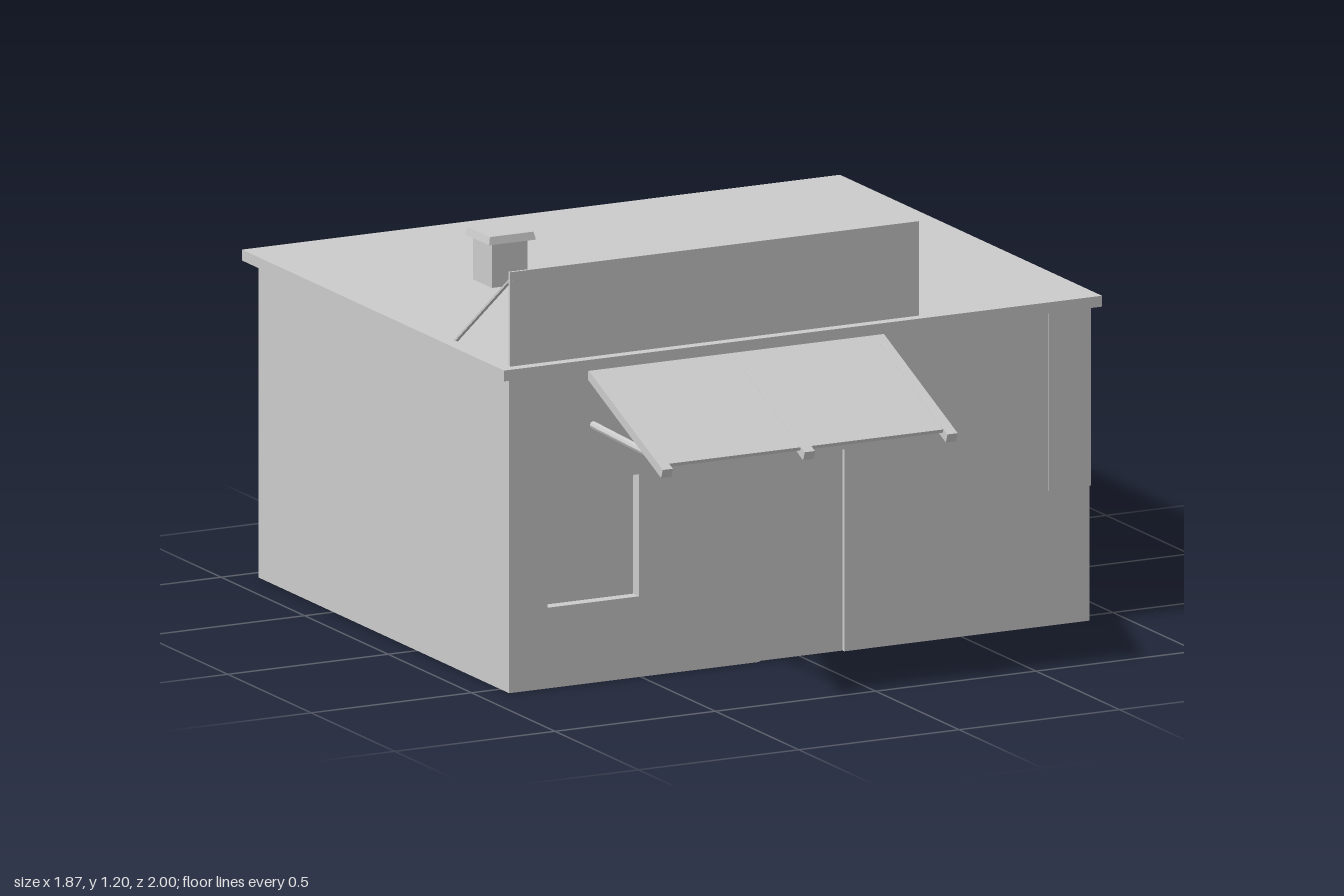
import * as THREE from 'three';

const L = -0.91, R = 0.9, FRONT = 0.553, BACK = -0.95, EAVE = 0.895, ROOF = 0.926;

export function createModel() {
  const group = new THREE.Group();
  const solid = new THREE.MeshStandardMaterial({ color: 0xcccccc, flatShading: true });
  const sheet = new THREE.MeshStandardMaterial({ color: 0xcccccc, flatShading: true, side: THREE.DoubleSide });

  const add = (name, geometry, material = solid) => {
    const mesh = new THREE.Mesh(geometry, material);
    mesh.name = name;
    group.add(mesh);
    return mesh;
  };
  // Box given by its limits; skip lists faces to leave open (0..5 = +x -x +y -y +z -z)
  const box = (x0, x1, y0, y1, z0, z1, skip = []) => {
    const g = new THREE.BoxGeometry(x1 - x0, y1 - y0, z1 - z0);
    g.translate((x0 + x1) / 2, (y0 + y1) / 2, (z0 + z1) / 2);
    if (skip.length) {
      g.setIndex(Array.from(g.index.array).filter((_, i) => !skip.includes(Math.floor(i / 6))));
      g.clearGroups();
    }
    return g;
  };
  const shape = (pts) => new THREE.Shape(pts.map(([x, y]) => new THREE.Vector2(x, y)));
  const rect = (x0, x1, y0, y1) => [[x0, y0], [x1, y0], [x1, y1], [x0, y1]];
  // Profile in (z, y), extruded along x between x0 and x1
  const sideProfile = (pts, x0, x1) => {
    const g = new THREE.ExtrudeGeometry(shape(pts.map(([z, y]) => [-z, y])), { depth: x1 - x0, bevelEnabled: false });
    return g.rotateY(Math.PI / 2).translate(x0, 0, 0);
  };
  const rod = (name, a, b, radius, sides) => {
    const from = new THREE.Vector3(...a), to = new THREE.Vector3(...b);
    const dir = to.clone().sub(from);
    const mesh = add(name, new THREE.CylinderGeometry(radius, radius, dir.length(), sides));
    mesh.position.copy(from).add(to).multiplyScalar(0.5);
    mesh.quaternion.setFromUnitVectors(new THREE.Vector3(0, 1, 0), dir.normalize());
  };

  // Hollow shell, open below; front wall cut for the door and window
  add('sideAndBackWalls', box(L, R, 0, EAVE, BACK, FRONT, [2, 3, 4]), sheet);
  const doorX = [-0.13, 0.135], doorTop = 0.575;
  const windowRect = [-0.79, -0.505, 0.23, 0.578];
  const front = shape([[L, 0], [doorX[0], 0], [doorX[0], doorTop], [doorX[1], doorTop],
    [doorX[1], 0], [R, 0], [R, EAVE], [L, EAVE]]);
  front.holes.push(shape(rect(...windowRect)));
  add('frontWall', new THREE.ShapeGeometry(front).translate(0, 0, FRONT), sheet);
  add('doorRecess', box(...doorX, 0, doorTop, FRONT - 0.01, FRONT, [3, 4]), sheet);
  add('windowRecess', box(...windowRect, FRONT - 0.035, FRONT, [4]), sheet);

  // Flat overhanging roof
  add('roof', box(-0.935, 0.93, EAVE, ROOF, -1, 0.57));

  // Stepped cladding patches wrapping the front corners
  const T = 0.003;
  const steps = (list) => {
    const pts = [[FRONT + T, EAVE], [FRONT + T, list[0][1]]];
    list.forEach(([d, y], i) => {
      pts.push([FRONT - d, y], [FRONT - d, i + 1 < list.length ? list[i + 1][1] : EAVE]);
    });
    return pts;
  };
  add('leftCornerCladding', sideProfile(steps([[0.125, 0.385], [0.37, 0.645], [0.545, 0.775]]), R - T, R + T));
  add('leftFrontCladding', box(0.77, R + T, 0.385, EAVE, FRONT - T, FRONT + T));
  add('rightCornerCladding', sideProfile(steps([[0.11, 0.575], [0.25, 0.775]]), L - T, L + T));
  add('rightFrontCladding', box(L - T, -0.79, 0.575, EAVE, FRONT - T, FRONT + T));

  // Sloping awning: thin sheet on three beams, each with a stay rod to the wall
  add('awningSheet', sideProfile([[0.55, 0.894], [0.55, 0.884], [0.972, 0.705], [0.976, 0.715]], -0.66, 0.25));
  for (const x of [-0.648, -0.205, 0.24]) {
    add('awningBeam', sideProfile([[0.55, 0.895], [0.55, 0.866], [0.99, 0.681], [1, 0.706]], x - 0.016, x + 0.016));
    rod('awningStay', [x, 0.735, FRONT - 0.015], [x, 0.725, 0.915], 0.011, 8);
  }

  // Blank signboard at the roof edge with two back struts
  add('signboard', box(-0.9, 0.375, ROOF - 0.005, 1.195, 0.53, 0.538));
  for (const x of [-0.893, 0.37]) rod('signStrut', [x, 1.175, 0.535], [x, ROOF - 0.005, 0.195], 0.006, 6);

  // Vent stack with a tapered cap
  const vx = -0.47, vz = -0.345;
  add('ventStack', box(vx - 0.056, vx + 0.056, ROOF - 0.01, 1.053, vz - 0.056, vz + 0.056));
  const cap = new THREE.CylinderGeometry(0.068 * Math.SQRT2, 0.073 * Math.SQRT2, 0.022, 4).rotateY(Math.PI / 4);
  add('ventCap', cap.translate(vx, 1.064, vz));

  return group;
}
